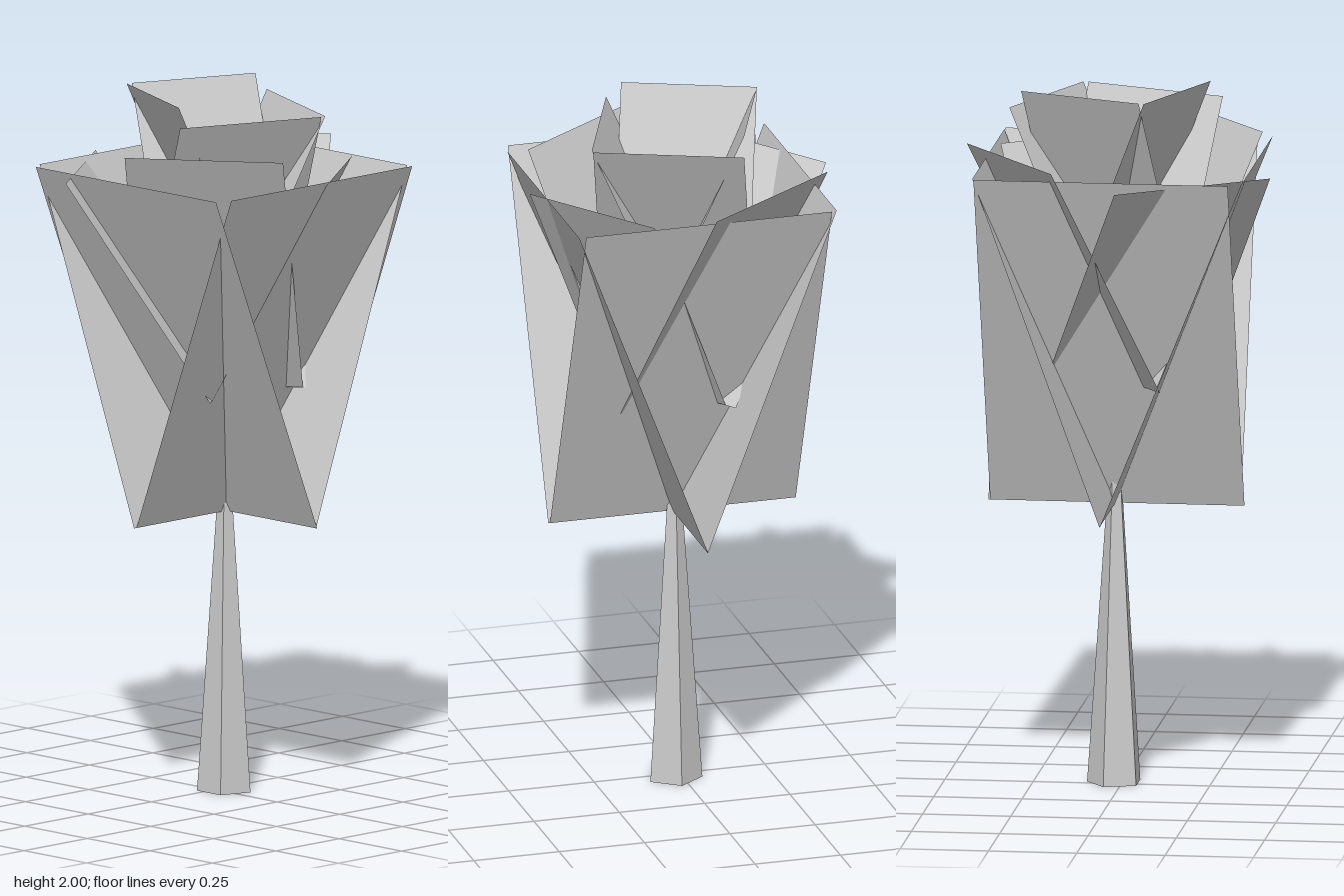
import * as THREE from 'three';

const material = new THREE.MeshStandardMaterial({ color: 0xcccccc, flatShading: true, side: THREE.DoubleSide });

// Stem axis in x, z; every leaf card leans outward from it
const axis = new THREE.Vector2(0.027, -0.02);

// Rectangular card from its top edge (x1, z1)-(x2, z2) at topY down to a lower edge through the axis
function leafCard(x1, z1, x2, z2, topY, bottomY) {
  const a = new THREE.Vector2(x1, z1);
  const b = new THREE.Vector2(x2, z2);
  const edge = b.clone().sub(a).normalize();
  const inward = new THREE.Vector2(-edge.y, edge.x);
  inward.multiplyScalar(axis.clone().sub(a).dot(inward));
  const c = a.clone().add(inward);
  const d = b.clone().add(inward);
  const geometry = new THREE.BufferGeometry();
  geometry.setAttribute('position', new THREE.Float32BufferAttribute([
    a.x, topY, a.y, b.x, topY, b.y, d.x, bottomY, d.y, c.x, bottomY, c.y,
  ], 3));
  geometry.setIndex([0, 2, 1, 0, 3, 2]);
  geometry.computeVertexNormals();
  return new THREE.Mesh(geometry, material);
}

// Three tiers of four leaning cards; each row is x1, z1, x2, z2, topY
const tiers = [
  { name: 'outerLeaves', bottomY: 0.8, cards: [
    [-0.33, 0.38, 0.39, 0.38, 1.79],
    [0.405, 0.335, 0.405, -0.38, 1.79],
    [0.385, -0.38, -0.335, -0.38, 1.79],
    [-0.35, -0.375, -0.35, 0.345, 1.79],
  ] },
  { name: 'middleLeaves', bottomY: 1.16, cards: [
    [0.04, 0.395, 0.405, 0.13, 1.87],
    [0.44, -0.005, 0.18, -0.365, 1.79],
    [0.02, -0.44, -0.39, -0.15, 1.82],
    [-0.44, 0.035, -0.15, 0.44, 1.775],
  ] },
  { name: 'innerLeaves', bottomY: 1.49, cards: [
    [-0.255, 0.095, 0.1, 0.24, 2],
    [0.135, 0.27, 0.295, -0.13, 1.95],
    [0.295, -0.145, -0.1, -0.305, 1.95],
    [-0.11, -0.27, -0.25, 0.08, 2],
  ] },
];

export function createModel() {
  const model = new THREE.Group();
  model.name = 'lowPolyTree';

  // Five-sided tapering stem, open at the ends
  const height = 0.9;
  const stem = new THREE.Mesh(
    new THREE.CylinderGeometry(0.018, 0.08, height, 5, 1, true, Math.PI), material);
  stem.name = 'stem';
  stem.position.set(0.022, height / 2, -0.02);
  model.add(stem);

  // Foliage tiers
  for (const { name, bottomY, cards } of tiers) {
    const tier = new THREE.Group();
    tier.name = name;
    cards.forEach((card, i) => {
      const leaf = leafCard(...card, bottomY);
      leaf.name = `leaf${i + 1}`;
      tier.add(leaf);
    });
    model.add(tier);
  }
  return model;
}
